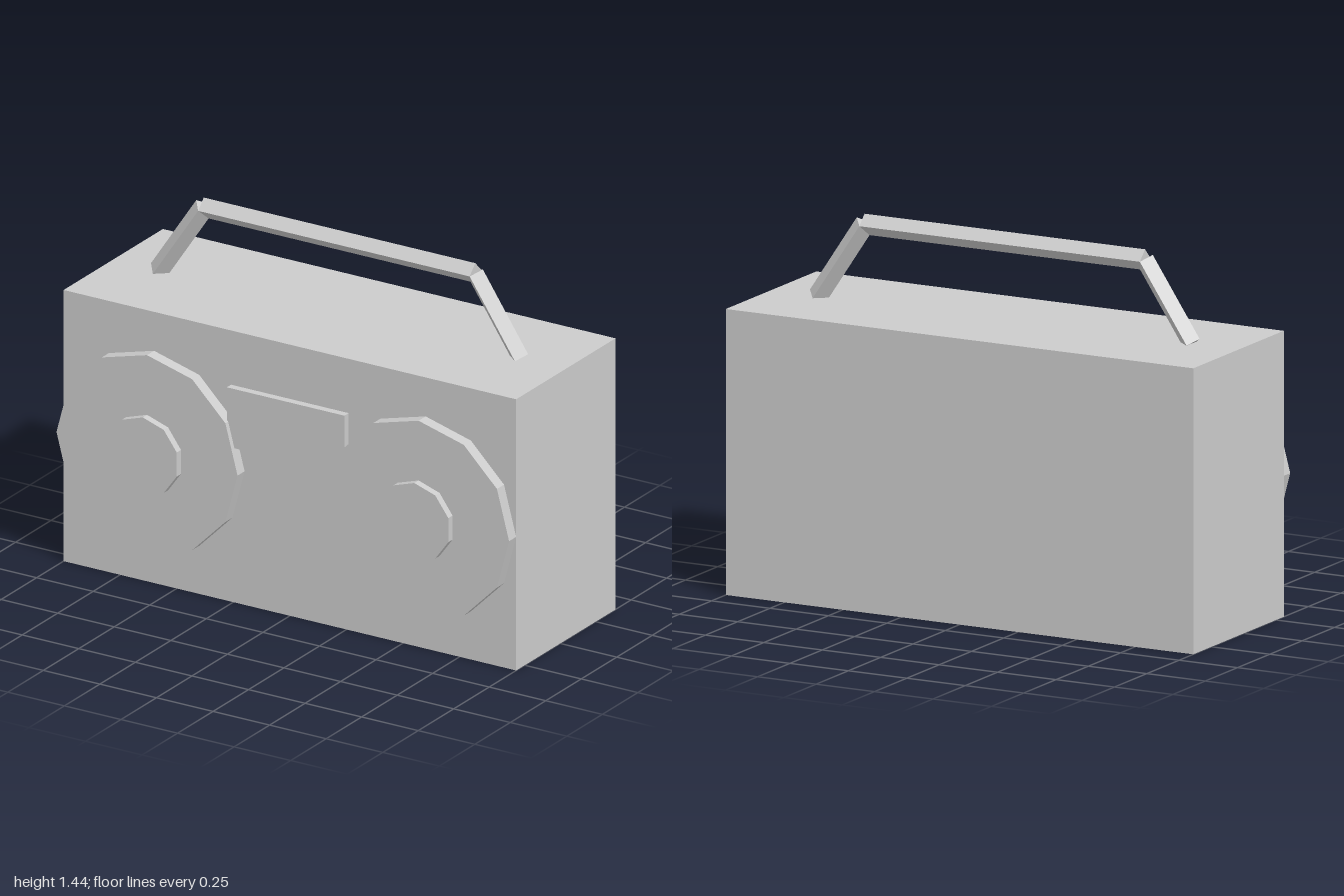
import * as THREE from 'three';

export function createModel() {
  const model = new THREE.Group();
  model.name = 'portableStereo';
  const grey = new THREE.MeshStandardMaterial({ color: 0xcccccc, flatShading: true });
  grey.name = 'light grey';

  function add(name, geometry, x, y, z) {
    const mesh = new THREE.Mesh(geometry, grey);
    mesh.name = name;
    mesh.position.set(x, y, z);
    model.add(mesh);
    return mesh;
  }

  // Disc whose flat side faces the front, from z0 to z1
  function disc(name, radius, sides, x, y, z0, z1) {
    const geometry = new THREE.CylinderGeometry(radius, radius, z1 - z0, sides);
    geometry.rotateX(Math.PI / 2);
    add(name, geometry, x, y, (z0 + z1) / 2);
  }

  // Straight four-sided bar, square on edge, between two points
  function bar(name, from, to) {
    const dir = to.clone().sub(from);
    const mid = from.clone().add(to).multiplyScalar(0.5);
    const geometry = new THREE.CylinderGeometry(0.04, 0.04, dir.length(), 4);
    const mesh = add(name, geometry, mid.x, mid.y, mid.z);
    mesh.rotation.z = Math.atan2(-dir.x, dir.y);
  }

  // Case and front panel
  add('case', new THREE.BoxGeometry(2, 1.1, 0.7), 0, 0.55, -0.04);
  add('tapeDoor', new THREE.BoxGeometry(0.52, 0.24, 0.03), 0, 0.76, 0.325);

  // Speakers with centre caps, and handle legs, on both sides
  for (const [side, s] of [['left', 1], ['right', -1]]) {
    disc(side + 'Speaker', 0.4, 12, s * 0.6, 0.542, 0.31, 0.36);
    disc(side + 'SpeakerCap', 0.158, 10, s * 0.6, 0.542, 0.36, 0.39);
    bar(side + 'HandleLeg', new THREE.Vector3(s * 0.8, 1.1, -0.04), new THREE.Vector3(s * 0.6, 1.4, -0.04));
  }

  // Handle grip
  bar('handleGrip', new THREE.Vector3(-0.6, 1.4, -0.04), new THREE.Vector3(0.6, 1.4, -0.04));

  return model;
}
